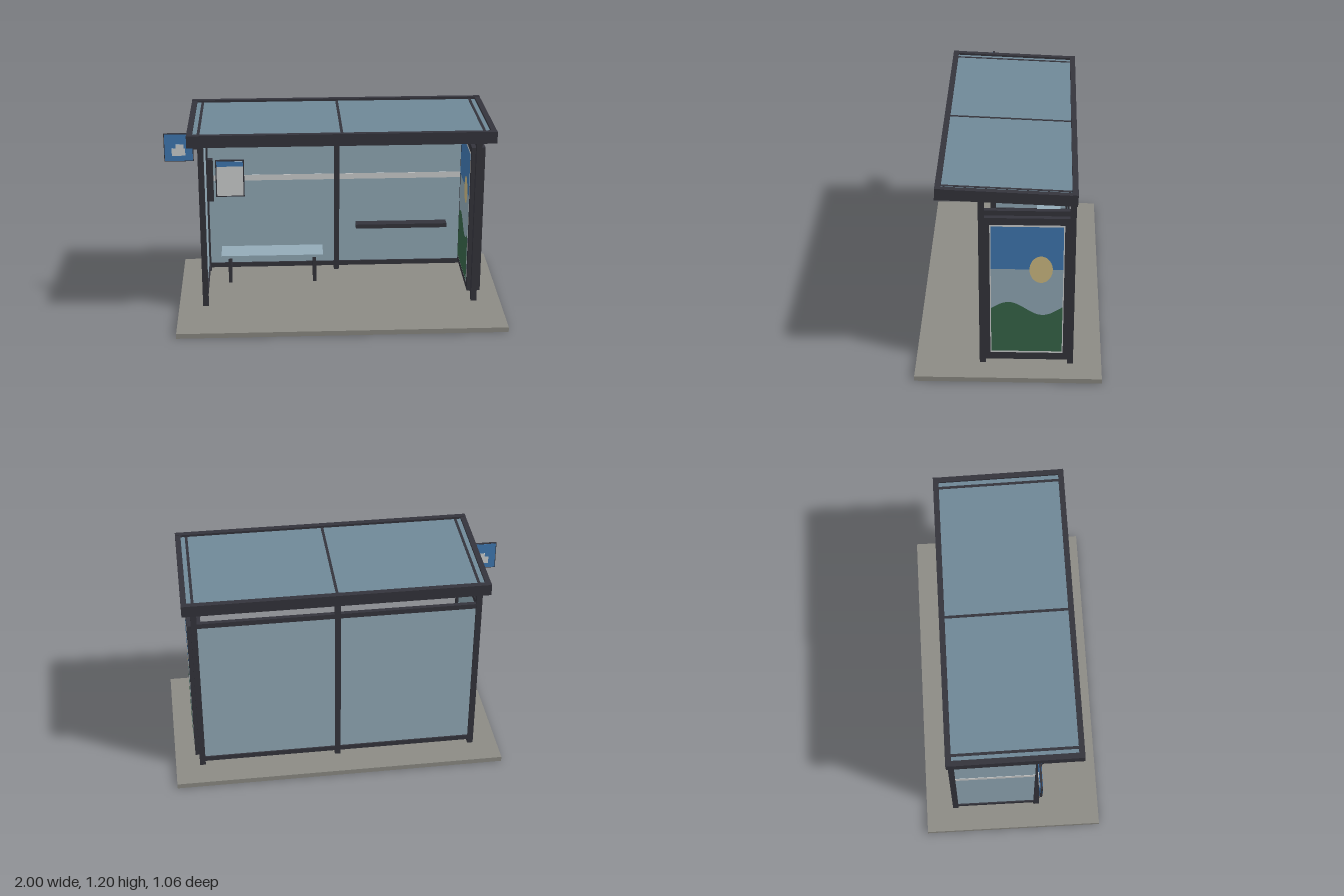
import * as THREE from 'three';

const mat = (name, color, side = THREE.FrontSide) => {
  const m = new THREE.MeshStandardMaterial({ color, side });
  m.name = name;
  return m;
};

export function createModel() {
  const frame = mat('dark frame', 0x34343c);
  const glass = mat('wall glass', 0x93abb8);
  const roofGlass = mat('roof glass', 0x6f8897);
  const paving = mat('paving', 0x8c8b84);
  const white = mat('white', 0xcfd1d1);
  const blue = mat('sky blue', 0x4079b3);
  const green = mat('hill green', 0x37664a);
  const yellow = mat('sun yellow', 0xd0bd84);

  const model = new THREE.Group();
  model.name = 'busShelter';

  // Box given by its limits on each axis
  const box = (name, m, [x0, x1], [y0, y1], [z0, z1], parent = model) => {
    const mesh = new THREE.Mesh(new THREE.BoxGeometry(x1 - x0, y1 - y0, z1 - z0), m);
    mesh.position.set((x0 + x1) / 2, (y0 + y1) / 2, (z0 + z1) / 2);
    mesh.name = name;
    parent.add(mesh);
    return mesh;
  };
  const around = (c, w) => [c - w / 2, c + w / 2];

  const bays = [-0.79, 0.025, 0.84];
  const [left, middle, right] = bays;
  const rear = -0.351, front = 0.148, post = 0.034;
  const sideZ = [rear + post / 2, front - post / 2];

  box('pavement', paving, [-0.95, 1], [0, 0.03], [-0.53, 0.53]);

  // Posts
  for (const x of bays) box('rearPost', frame, around(x, post), [0.03, 1.12], around(rear, post));
  for (const x of [left, right]) box('frontPost', frame, around(x, post), [0.03, 1.135], around(front, post));

  // Top and bottom rails
  for (const y of [0.07, 1.025]) {
    box('rearRail', frame, [left, right], around(y, 0.03), around(rear, 0.026));
    for (const x of [left, right]) box('sideRail', frame, around(x, 0.026), around(y, 0.03), sideZ);
  }

  // Glass walls with a pale safety band
  const glassY = [0.083, 1.012], bandY = [0.643, 0.68];
  for (const [a, b] of [[left, middle], [middle, right]]) {
    const span = [a + post / 2, b - post / 2];
    box('rearGlass', glass, span, glassY, around(rear, 0.01));
    box('rearBand', white, span, bandY, [rear + 0.005, rear + 0.007]);
  }
  box('sideGlass', glass, around(left, 0.01), glassY, sideZ);
  box('sideBand', white, [left - 0.007, left - 0.005], bandY, sideZ);

  // Sloping roof: rim beams, cross ribs and glazing
  const roof = new THREE.Group();
  roof.name = 'roof';
  roof.position.set(0.025, 1.15, 0.01);
  roof.rotation.x = -0.04;
  model.add(roof);
  const rw = 0.88, rd = 0.384, rh = [-0.035, 0.035], beam = 0.032;
  for (const s of [-1, 1]) {
    box('roofLongBeam', frame, [-rw, rw], rh, around(s * (rd - beam / 2), beam), roof);
    box('roofEndBeam', frame, around(s * (rw - beam / 2), beam), [-0.033, 0.033], [beam - rd, rd - beam], roof);
  }
  for (const x of bays) {
    box('roofRib', frame, around(x - 0.025, 0.016), [-0.03, 0.0225], [beam - rd, rd - beam], roof);
  }
  box('roofPane', roofGlass, [beam - rw, rw - beam], [0.01, 0.021], [beam - rd, rd - beam], roof);

  // Poster case, lit from both sides
  box('posterCase', frame, around(right, 0.08), [0.083, 1.01], sideZ);
  const posterZ = -0.1025, hw = 0.199, low = 0.135, high = 0.958;
  const hill = u => 0.427 + 0.042 * Math.cos((posterZ - u) / 0.38 * Math.PI * 2);
  const rect = (w, y0, y1) => new THREE.Shape([[-w, y0], [w, y0], [w, y1], [-w, y1]]
    .map(p => new THREE.Vector2(...p)));
  const hills = new THREE.Shape([new THREE.Vector2(-hw, low), new THREE.Vector2(hw, low)]);
  for (let i = 0; i <= 32; i++) {
    const u = hw - (2 * hw * i) / 32;
    hills.lineTo(u, hill(u));
  }
  const sun = new THREE.Shape().absellipse(0.0775, 0.686, 0.064, 0.086, 0, Math.PI * 2);
  const layers = [
    ['posterBorder', rect(0.205, 0.122, 0.968), white],
    ['posterHaze', rect(hw, low, 0.686), glass],
    ['posterSky', rect(hw, 0.686, high), blue],
    ['posterHills', hills, green],
    ['posterSun', sun, yellow],
  ];
  for (const s of [-1, 1]) {
    const poster = new THREE.Group();
    poster.name = 'poster';
    poster.position.set(right + s * 0.04, 0, posterZ);
    poster.rotation.y = s * Math.PI / 2;
    layers.forEach(([name, shape, m], i) => {
      const mesh = new THREE.Mesh(new THREE.ShapeGeometry(shape, 24), m);
      mesh.name = name;
      mesh.position.z = 0.001 * (i + 1);
      poster.add(mesh);
    });
    model.add(poster);
  }

  // Bench and leaning rail
  box('benchSeat', glass, [-0.7, -0.067], [0.2, 0.218], [-0.3, -0.145]);
  for (const x of [-0.648, -0.12]) box('benchLeg', frame, around(x, 0.02), [-0.001, 0.2], [-0.288, -0.16]);
  box('leaningRail', frame, [0.145, 0.717], [0.328, 0.355], [-0.344, -0.285]);

  // Timetable on the rear glass and a reader box on the post
  box('timetableCase', frame, [-0.728, -0.55], [0.54, 0.783], [rear + 0.005, rear + 0.017]);
  box('timetableSheet', white, [-0.721, -0.557], [0.547, 0.776], [rear + 0.017, rear + 0.019]);
  box('timetableHeader', blue, [-0.721, -0.557], [0.742, 0.776], [rear + 0.019, rear + 0.021]);
  box('readerBox', frame, [-0.773, -0.742], [0.525, 0.8], [-0.336, -0.295]);

  // Stop sign with a plain vehicle pictogram on both faces
  const signZ = 0.145;
  box('signBracket', frame, [-0.84, -0.8], [1.033, 1.062], around(signZ, 0.014));
  box('signEdge', frame, [-1, -0.83], [0.962, 1.132], around(signZ, 0.012));
  for (const s of [-1, 1]) {
    const plate = z => around(signZ + s * z, 0.002);
    box('signFace', blue, [-0.996, -0.834], [0.966, 1.128], plate(0.007));
    box('pictogramBody', white, [-0.955, -0.877], [0.998, 1.042], plate(0.009));
    box('pictogramTop', white, [-0.932, -0.885], [1.042, 1.066], plate(0.009));
  }

  return model;
}
